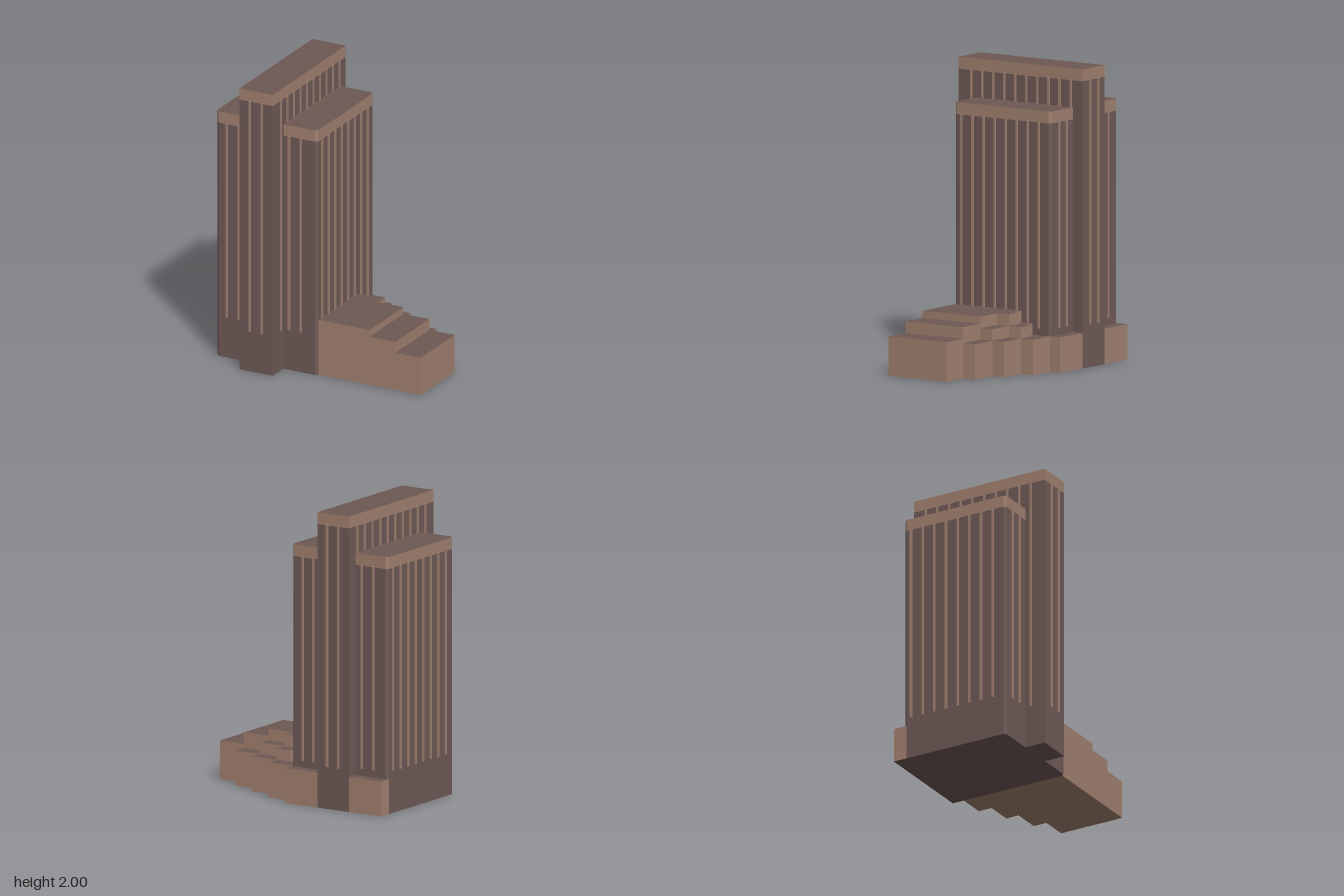
import * as THREE from 'three';

const wall = new THREE.MeshStandardMaterial({ color: 0x6f5b58 });
wall.name = 'dark brown wall';
const tan = new THREE.MeshStandardMaterial({ color: 0xa38271 });
tan.name = 'tan stone';
const roof = new THREE.MeshStandardMaterial({ color: 0x6e5953 });
roof.name = 'brown roof';

// Upright block; cut = chamfers on the corners of its left (+x) or right (-x) side
function block(name, [x0, x1], [z0, z1], [y0, y1], side, top, cutL = 0, cutR = 0) {
  const s = new THREE.Shape([
    [x0 + cutR, -z1], [x1 - cutL, -z1], [x1, -z1 + cutL], [x1, -z0 - cutL],
    [x1 - cutL, -z0], [x0 + cutR, -z0], [x0, -z0 - cutR], [x0, -z1 + cutR],
  ].filter((p, i, a) => i === 0 || p[0] !== a[i - 1][0] || p[1] !== a[i - 1][1])
    .filter((p, i, a) => i === 0 || p[0] !== a[0][0] || p[1] !== a[0][1])
    .map(([x, y]) => new THREE.Vector2(x, y)));
  const g = new THREE.ExtrudeGeometry(s, { depth: y1 - y0, bevelEnabled: false });
  g.rotateX(-Math.PI / 2);
  g.translate(0, y0, 0);
  const m = new THREE.Mesh(g, [top, side]);
  m.name = name;
  return m;
}

// Row of thin vertical ribs
function fins(name, points, y0, y1, alongX) {
  const group = new THREE.Group();
  group.name = name;
  const w = 0.014, d = 0.02;
  const geo = new THREE.BoxGeometry(alongX ? w : d, y1 - y0, alongX ? d : w);
  for (const [x, z] of points) {
    const m = new THREE.Mesh(geo, tan);
    m.name = 'fin';
    m.position.set(x, (y0 + y1) / 2, z);
    group.add(m);
  }
  return group;
}

const row = (start, step, n) => Array.from({ length: n }, (_, i) => start + step * i);

function tower(name, x, z, height, cutL, cutR, ribs) {
  const g = new THREE.Group();
  g.name = name;
  const crown = height - 0.08;
  g.add(block('towerWalls', x, z, [0, crown], wall, wall, cutL, cutR));
  g.add(block('crownBand', x, z, [crown, height], tan, roof, cutL, cutR));
  const top = crown + 0.005, bottom = 0.285;
  g.add(fins('frontFins', ribs.front.map(v => [v, z[1]]), bottom, top, true));
  g.add(fins('backFins', ribs.back.map(v => [v, z[0]]), bottom, top, true));
  g.add(fins('leftFins', (ribs.left || []).map(v => [x[1], v]), bottom, top, false));
  g.add(fins('rightFins', (ribs.right || []).map(v => [x[0], v]), bottom, top, false));
  return g;
}

export function createModel() {
  const model = new THREE.Group();
  model.name = 'towerComplex';

  // Three slab towers
  const sides = row(-0.41, 0.09, 10);
  model.add(tower('centreTower', [-0.505, -0.255], [-0.505, 0.505], 2, 0, 0,
    { front: [-0.425, -0.335], back: [-0.425, -0.335], left: sides, right: sides }));
  model.add(tower('rightTower', [-0.762, -0.505], [-0.427, 0.357], 1.74, 0, 0.018,
    { front: [-0.68, -0.59], back: [-0.65, -0.56], right: row(-0.37, 0.09, 8) }));
  model.add(tower('leftTower', [-0.255, 0], [-0.427, 0.357], 1.74, 0.018, 0,
    { front: [-0.21, -0.12], back: [-0.175, -0.09], left: row(-0.334, 0.09, 8) }));

  // Low base behind the side towers
  model.add(block('rearBaseRight', [-0.762, -0.505], [-0.505, -0.405], [0, 0.237], tan, roof));
  model.add(block('rearBaseLeft', [-0.255, 0], [-0.505, -0.405], [0, 0.237], tan, roof));

  // Terraced podium: x range, z range, height
  const podium = new THREE.Group();
  podium.name = 'podium';
  const low = 0.237, mid = 0.313, high = 0.39;
  const terraces = [
    [-0.018, 0.085, -0.19, 0.34, high],
    [0.085, 0.193, -0.225, 0.34, high],
    [0.193, 0.385, -0.13, 0.34, high],
    [0.385, 0.58, -0.13, 0.34, 0.342],
    [0.58, 0.77, -0.13, 0.34, 0.265],
    [-0.018, 0.085, -0.28, -0.19, mid],
    [0.085, 0.193, -0.323, -0.225, mid],
    [0.193, 0.385, -0.225, -0.13, mid],
    [-0.018, 0.085, -0.42, -0.28, low],
    [0.085, 0.193, -0.42, -0.323, low],
    [0.193, 0.385, -0.323, -0.225, low],
    [0.385, 0.58, -0.228, -0.13, low],
  ];
  for (const [x0, x1, z0, z1, h] of terraces) {
    podium.add(block('terrace', [x0, x1], [z0, z1], [0.003, h], tan, roof));
  }
  // Underside of the podium
  [[-0.0, 0.193, -0.42], [0.193, 0.385, -0.323], [0.385, 0.58, -0.228], [0.58, 0.77, -0.13]]
    .forEach(([x0, x1, z0]) => podium.add(block('footing', [x0, x1], [z0, 0.34], [0, 0.003], tan, tan)));
  model.add(podium);
  return model;
}
